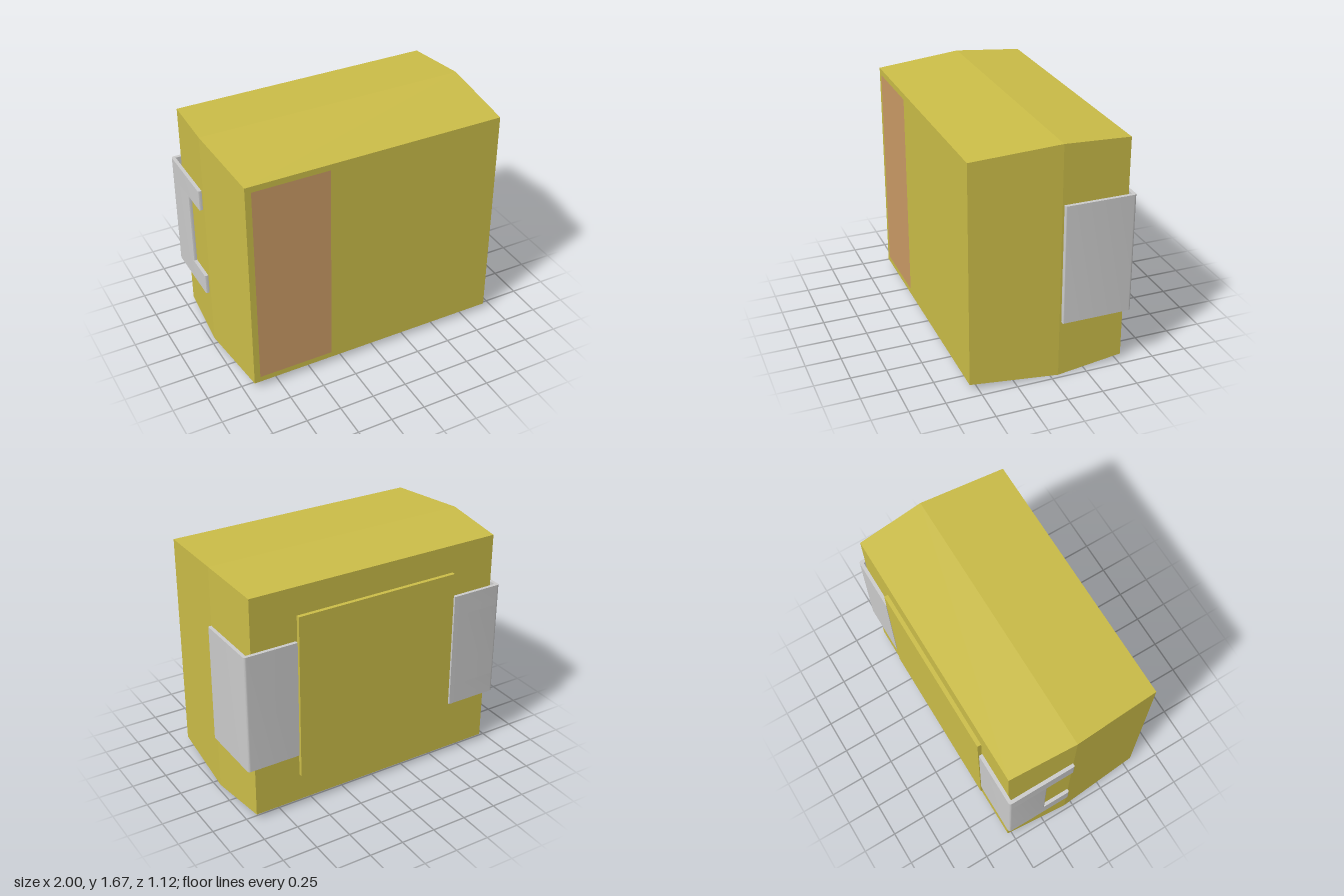
import * as THREE from 'three';
import { toCreasedNormals } from 'three/addons/utils/BufferGeometryUtils.js';
import { ConvexGeometry } from 'three/addons/geometries/ConvexGeometry.js';

const yellow = new THREE.MeshStandardMaterial({ color: 0xcbbd48 });
const brown = new THREE.MeshStandardMaterial({ color: 0xcb9b66 });
const grey = new THREE.MeshStandardMaterial({ color: 0xcccccc });
const midY = 0.8375;

function add(parent, name, geometry, material, x = 0, y = 0, z = 0) {
  const mesh = new THREE.Mesh(geometry, material);
  mesh.name = name;
  mesh.position.set(x, y, z);
  parent.add(mesh);
  return mesh;
}

// Moulded body: three rectangles, widest at the parting line
function bodyGeometry() {
  const points = [];
  for (const [z, w, h] of [[0.56, 0.928, 0.792], [-0.055, 0.97, midY], [-0.532, 0.938, 0.802]]) {
    for (const sx of [-1, 1]) {
      for (const sy of [-1, 1]) points.push(new THREE.Vector3(sx * w, midY + sy * h, z));
    }
  }
  return new ConvexGeometry(points);
}

// L-shaped strip seen from above, raised from y0 to y1; its side leg ends at z = endZ
function leadGeometry(side, y0, y1, endZ) {
  const t = 0.025, r = 0.02, e = 0.01, back = 0.56, end = -endZ;
  const s = new THREE.Shape();
  s.moveTo(side * 0.617, back);
  s.lineTo(side * (1 - r), back);
  s.quadraticCurveTo(side, back, side, back - r);
  s.lineTo(side, end + e);
  s.quadraticCurveTo(side, end, side * (1 - e), end);
  s.lineTo(side * (1 - t), end);
  s.lineTo(side * (1 - t), back - t);
  s.lineTo(side * 0.617, back - t);
  s.closePath();
  const g = new THREE.ExtrudeGeometry(s, { depth: y1 - y0, bevelEnabled: false, curveSegments: 6 });
  g.rotateX(-Math.PI / 2).translate(0, y0, 0);
  return toCreasedNormals(g, 0.6);
}

export function createModel() {
  const model = new THREE.Group();
  model.name = 'surfaceMountComponent';

  add(model, 'body', bodyGeometry(), yellow);
  add(model, 'backPlate', new THREE.BoxGeometry(1.21, 1.2, 0.03), yellow, 0, 0.84, -0.545);
  add(model, 'polarityBand', new THREE.PlaneGeometry(0.545, 1.5), brown, -0.6125, midY, 0.5615);

  // Plain lead on the left
  add(model, 'leftLead', leadGeometry(1, 0.413, 1.263, -0.065), grey);

  // Notched lead on the right: full bands above and below a shorter middle
  const notched = new THREE.Group();
  notched.name = 'rightLead';
  add(notched, 'lowerBand', leadGeometry(-1, 0.413, 0.563, -0.065), grey);
  add(notched, 'middleBand', leadGeometry(-1, 0.563, 1.113, -0.27), grey);
  add(notched, 'upperBand', leadGeometry(-1, 1.113, 1.263, -0.065), grey);
  model.add(notched);

  return model;
}
